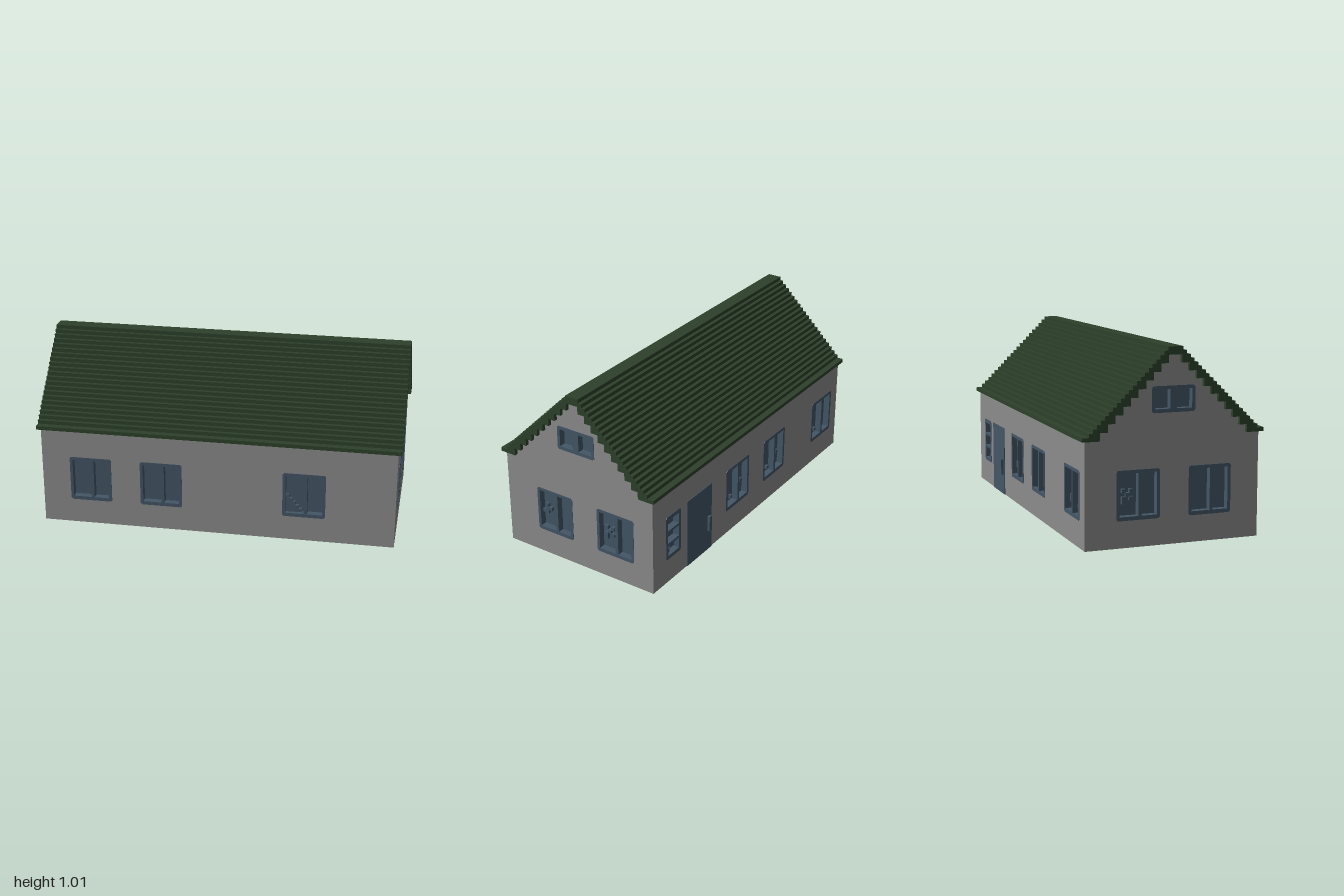
import * as THREE from 'three';

const W = 0.98, Z = 0.475, EAVE = 0.555, D = 0.04, ROWS = 22, STEP = (1.01 - EAVE) / ROWS;

const mat = (name, color) => {
  const m = new THREE.MeshStandardMaterial({ color });
  m.name = name;
  return m;
};

// Rectangle with small cut corners, as a point list
const plate = (u, v, w, h, c = 0) => (c
  ? [[u + c, v], [u + w - c, v], [u + w, v + c], [u + w, v + h - c], [u + w - c, v + h], [u + c, v + h], [u, v + h - c], [u, v + c]]
  : [[u, v], [u + w, v], [u + w, v + h], [u, v + h]]).map(p => new THREE.Vector2(...p));

const mirrorPoints = pts => [...pts, ...pts.slice().reverse().map(p => new THREE.Vector2(-p.x, p.y))];

function extrude(points, holes, depth) {
  const s = new THREE.Shape(points);
  holes.forEach(h => s.holes.push(new THREE.Path(h)));
  return new THREE.ExtrudeGeometry(s, { depth, bevelEnabled: false });
}

// Stepped lines of the roof, from eave to ridge
function outerSteps() {
  const pts = [];
  for (let r = ROWS - 1; r >= 0; r--) {
    const half = r === ROWS - 1 ? 0.495 : 0.04 + r * 0.0209;
    const y = 1.01 - (r + 1) * STEP;
    pts.push(new THREE.Vector2(half, y), new THREE.Vector2(half, y + STEP));
  }
  return pts;
}
function innerSteps() {
  const pts = [];
  for (let j = 0; j < 10; j++) {
    const half = 0.4 - j * 0.0405, y = EAVE + j * 2 * STEP;
    pts.push(new THREE.Vector2(half, y), new THREE.Vector2(half, y + 2 * STEP));
  }
  return pts;
}

// Opening kinds: outer size and panes as [u, v, w, h] from the lower left corner
const KINDS = {
  window: { v: 0.14, w: 0.235, h: 0.257, panes: [[0.016, 0.02, 0.102, 0.22], [0.135, 0.02, 0.083, 0.22]] },
  attic: { v: 0.677, w: 0.235, h: 0.135, panes: [[0.017, 0.019, 0.082, 0.098], [0.136, 0.019, 0.082, 0.098]] },
  narrow: { v: 0.14, w: 0.135, h: 0.257, panes: [0, 1, 2].map(i => [0.018, 0.02 + i * 0.076, 0.099, 0.062]) },
  door: { v: 0, w: 0.235, h: 0.4, panes: [] },
};

// Small raised blocks behind the panes
const STAIRS = [0.1, 0.08, 0.06, 0.04, 0.02].map((h, i) => [0.016 + i * 0.018, 0.02, 0.018, h]);
const HOOK = [[0.016, 0.098, 0.02, 0.02], [0.036, 0.098, 0.02, 0.06], [0.056, 0.118, 0.022, 0.02]];
const CROSS = [[0.036, 0.138, 0.02, 0.02], [0.056, 0.118, 0.02, 0.02], [0.076, 0.138, 0.02, 0.02],
  [0.076, 0.098, 0.02, 0.02], [0.036, 0.08, 0.02, 0.038]];
const BITS = [[0.035, 0.06, 0.02, 0.04], [0.075, 0.04, 0.02, 0.02], [0.155, 0.05, 0.02, 0.02], [0.175, 0.1, 0.02, 0.02]];

export function createModel() {
  const model = new THREE.Group();
  model.name = 'house';
  const wallMat = mat('wall grey', 0x8c8c8c);
  const blueMat = mat('window blue', 0x435666);
  const roofMat = mat('roof green', 0x2d412b);

  const add = (parent, name, geo, material, x = 0, y = 0, z = 0) => {
    const m = new THREE.Mesh(geo, material);
    m.name = name;
    m.position.set(x, y, z);
    parent.add(m);
  };
  const block = (parent, name, u, v, w, h, z, d) =>
    add(parent, name, new THREE.BoxGeometry(w, h, d), blueMat, u + w / 2, v + h / 2, z + d / 2);

  // One wall with its openings; local +z faces outwards
  function wall(name, outline, distance, turn, openings) {
    const g = new THREE.Group();
    g.name = name;
    g.rotation.y = turn;
    const rim = ([kind, u]) => {
      const k = KINDS[kind];
      return plate(u, k.v, k.w, k.h, kind === 'door' ? 0 : 0.009);
    };
    const windows = openings.filter(o => o[0] !== 'door');
    add(g, name + 'Panel', extrude(outline, windows.map(rim), D), wallMat, 0, 0, distance - D);
    for (const o of openings) {
      const [kind, u, blocks = []] = o, k = KINDS[kind];
      if (kind === 'door') {
        block(g, 'door', u, 0, k.w, k.h, distance - 0.01, 0.014);
        block(g, 'doorHandle', u + 0.195, 0.12, 0.022, 0.09, distance, 0.018);
        continue;
      }
      const holes = k.panes.map(([a, b, w, h]) => plate(u + a, k.v + b, w, h));
      add(g, kind + 'Frame', extrude(rim(o), holes, D), blueMat, 0, 0, distance - D + 0.002);
      block(g, kind + 'Pane', u + 0.005, k.v + 0.005, k.w - 0.01, k.h - 0.01, distance - D - 0.004, 0.009);
      blocks.forEach(([a, b, w, h]) => block(g, 'paneBlock', u + a, k.v + b, w, h, distance - D, 0.022));
    }
    model.add(g);
  }

  // Long walls
  const longWall = plate(-W + D, 0, 2 * (W - D), EAVE + 0.005);
  wall('frontWall', longWall, Z, 0, [['window', -0.823], ['window', -0.425], ['window', 0.367, STAIRS]]);
  wall('backWall', longWall, Z, Math.PI, [
    ['narrow', -0.865, [[0.03, 0.02, 0.03, 0.02], [0.06, 0.04, 0.04, 0.02]]],
    ['door', -0.672], ['window', -0.287, BITS], ['window', 0.108, BITS.slice(1)], ['window', 0.67, BITS.slice(0, 3)]]);

  // Gable walls
  const gable = mirrorPoints([new THREE.Vector2(Z, 0), new THREE.Vector2(Z, EAVE), ...innerSteps()]);
  wall('rightGable', gable, W, Math.PI / 2, [['window', -0.275, HOOK], ['window', 0.12, CROSS], ['attic', -0.118]]);
  wall('leftGable', gable, W, -Math.PI / 2, [['window', -0.307, CROSS], ['window', 0.085], ['attic', -0.118]]);

  // Floor
  add(model, 'floor', new THREE.BoxGeometry(2 * (W - D), 0.02, 2 * (Z - D)), wallMat, 0, 0.01, 0);

  // Stepped roof shell
  const outer = mirrorPoints(outerSteps());
  const inner = mirrorPoints(innerSteps()).reverse();
  const roof = extrude([...outer, ...inner], [], 2);
  roof.translate(0, 0, -1);
  roof.rotateY(Math.PI / 2);
  add(model, 'roof', roof, roofMat);

  return model;
}
